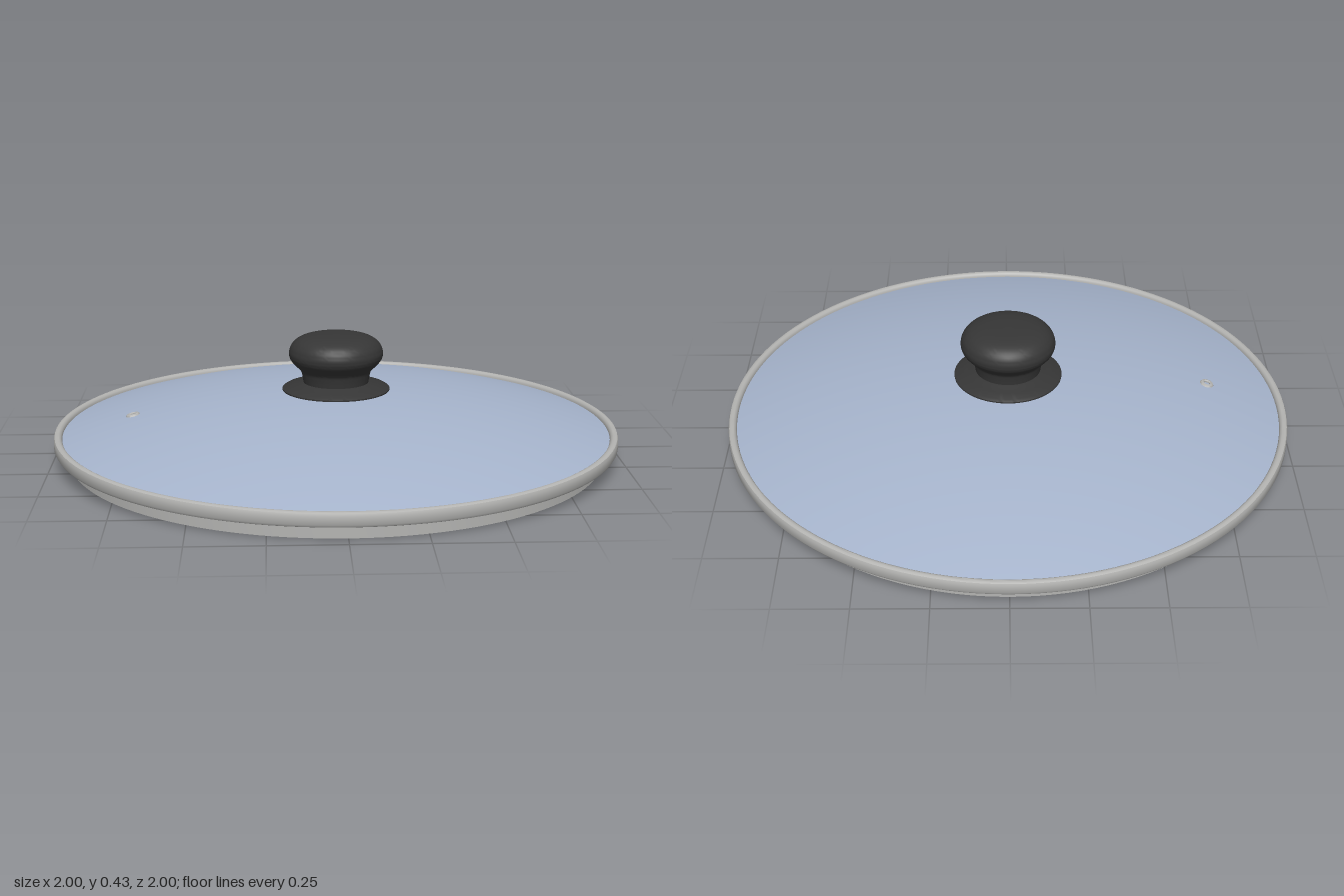
import * as THREE from 'three';
import { toCreasedNormals } from 'three/addons/utils/BufferGeometryUtils.js';

const material = (name, color) => {
  const m = new THREE.MeshStandardMaterial({ color });
  m.name = name;
  return m;
};

// Revolve a counter-clockwise [radius, height] profile, keeping hard edges sharp
function turned(name, profile, mat, segments = 96) {
  const points = profile.map(([r, y]) => new THREE.Vector2(r, y));
  const geometry = toCreasedNormals(new THREE.LatheGeometry(points, segments), 0.6);
  const mesh = new THREE.Mesh(geometry, mat);
  mesh.name = name;
  return mesh;
}

// Height of the glass dome at a given radius
const CURVE = 0.16;
const domeY = (r) => 0.235 - CURVE * r * r;

export function createModel() {
  const glass = material('blue grey glass', 0xa6b4cc);
  const steel = material('brushed steel', 0xb4b4b2);
  const black = material('black plastic', 0x363636);
  const model = new THREE.Group();
  model.name = 'glassLid';

  // Shallow glass dome with a little thickness
  const under = [], over = [];
  for (let i = 0; i <= 24; i++) {
    const r = 0.971 * i / 24;
    under.push([r, domeY(r) - 0.01]);
    over.unshift([r, domeY(r)]);
  }
  model.add(turned('glassDome', [...under, ...over], glass, 128));

  // Steel band: rounded bead above a stepped-in skirt
  model.add(turned('steelRim', [
    [0.932, 0], [0.945, 0], [0.945, 0.044], [0.955, 0.049], [0.985, 0.049],
    [0.995, 0.053], [1, 0.061], [1, 0.088], [0.997, 0.096], [0.99, 0.1],
    [0.982, 0.1], [0.975, 0.096], [0.971, 0.088], [0.971, 0.076],
    [0.94, 0.076], [0.932, 0.068], [0.932, 0],
  ], steel, 128));

  // Flange that seats the knob on the glass
  model.add(turned('knobFlange', [
    [0, 0.222], [0.19, 0.222], [0.191, 0.234], [0.182, 0.24],
    [0.15, 0.246], [0.125, 0.254], [0.112, 0.258], [0, 0.258],
  ], black));

  // Mushroom knob, smoothed through a few profile points
  const knobCurve = new THREE.SplineCurve([
    [0.115, 0.25], [0.119, 0.275], [0.126, 0.3], [0.145, 0.319], [0.162, 0.34],
    [0.167, 0.364], [0.157, 0.392], [0.13, 0.414], [0.08, 0.427], [0, 0.431],
  ].map(([r, y]) => new THREE.Vector2(r, y)));
  const knobProfile = knobCurve.getPoints(36).map((p) => [Math.max(p.x, 0), p.y]);
  model.add(turned('knob', knobProfile, black));

  // Screw and washer holding the knob from underneath
  model.add(turned('knobScrew', [
    [0, 0.2], [0.018, 0.2], [0.022, 0.196], [0.03, 0.197], [0.036, 0.203],
    [0.038, 0.212], [0.055, 0.213], [0.058, 0.217], [0.058, 0.226], [0, 0.226],
  ], steel, 48));

  // Steam vent eyelet, tilted to follow the dome
  const ventRadius = 0.722;
  const vent = turned('steamVent', [
    [0.011, -0.016], [0.021, -0.016], [0.024, -0.011], [0.014, -0.009],
    [0.014, 0], [0.025, 0.001], [0.022, 0.006], [0.015, 0.008],
    [0.011, 0.005], [0.011, -0.016],
  ], steel, 24);
  vent.position.set(-0.72, domeY(ventRadius), 0.05);
  vent.rotation.z = Math.atan(2 * CURVE * ventRadius);
  model.add(vent);

  return model;
}
